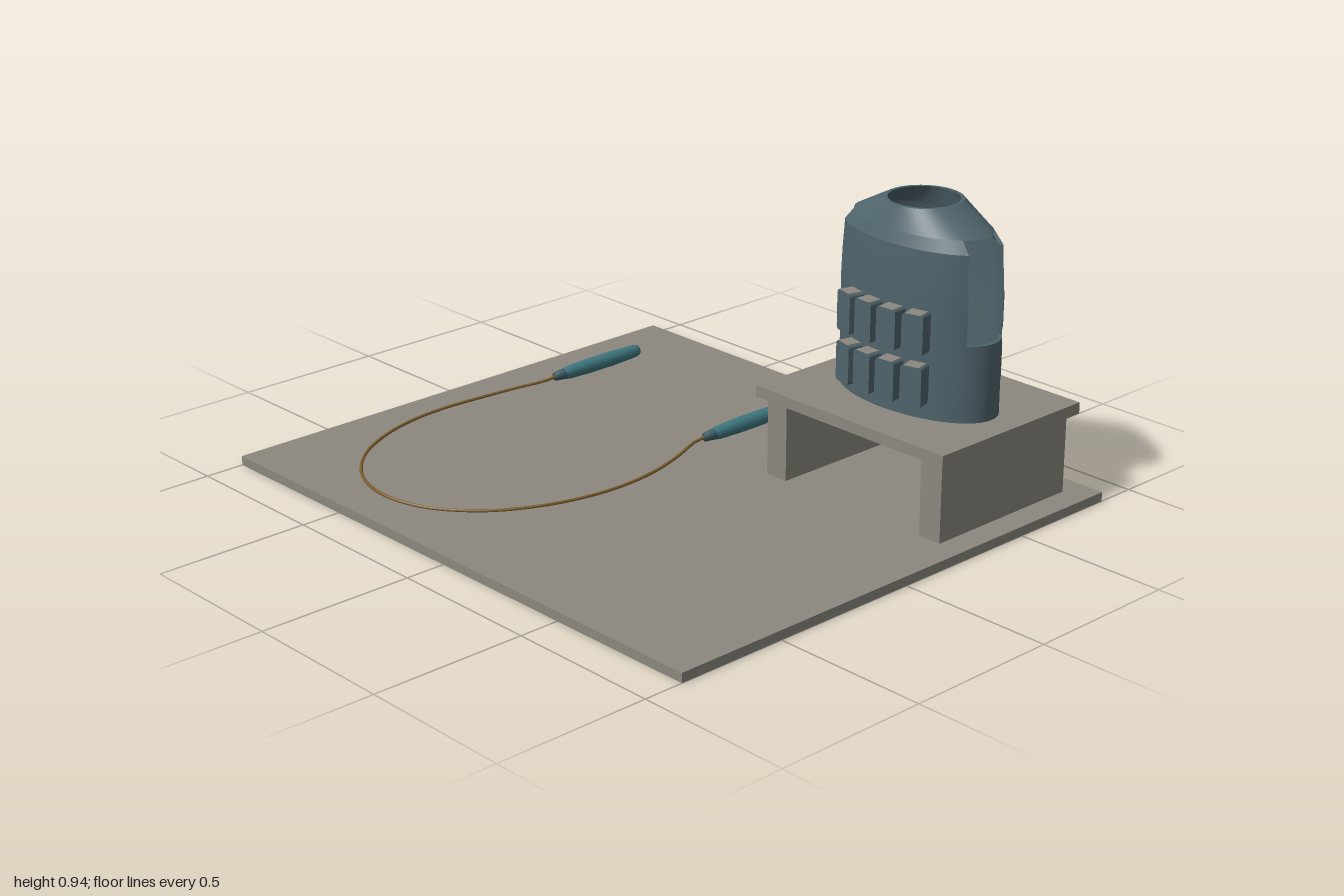
import * as THREE from 'three';

const mat = (name, color, side = THREE.FrontSide) => {
  const m = new THREE.MeshStandardMaterial({ color, side });
  m.name = name;
  return m;
};

export function createModel() {
  const stone = mat('warm grey', 0x8c887e);
  const fabric = mat('slate blue', 0x4f646c, THREE.DoubleSide);
  const grip = mat('teal', 0x3f7880);
  const cap = mat('dark teal', 0x3a5a62);
  const cord = mat('brown', 0x7d5f2e);

  const root = new THREE.Group();
  root.name = 'trainingSet';
  const add = (parent, name, geo, material, x = 0, y = 0, z = 0) => {
    const m = new THREE.Mesh(geo, material);
    m.name = name;
    m.position.set(x, y, z);
    parent.add(m);
    return m;
  };

  // Floor slab and bench
  add(root, 'floor', new THREE.BoxGeometry(2, 0.03, 1.74), stone, 0, 0.015, 0);
  const bench = new THREE.Group();
  bench.name = 'bench';
  bench.position.set(0.563, 0, -0.508);
  root.add(bench);
  add(bench, 'benchTop', new THREE.BoxGeometry(0.756, 0.036, 0.61), stone, 0, 0.302, 0);
  for (const s of [-1, 1])
    add(bench, 'benchLeg', new THREE.BoxGeometry(0.08, 0.256, 0.555), stone, s * 0.313, 0.157, 0);

  // Vest: curved shell pieces bent from boxes around an ellipse
  const vest = new THREE.Group();
  vest.name = 'vest';
  vest.position.set(0.565, 0, -0.51);
  root.add(vest);
  const THICK = 0.012;
  // levels: [height, half width, half depth]; the piece spans mid +- half in angle
  const shell = (name, levels, mid, half, segs) => {
    const g = new THREE.BoxGeometry(1, 1, 1, segs, levels.length - 1, 1);
    const p = g.attributes.position;
    for (let i = 0; i < p.count; i++) {
      const a = mid + p.getX(i) * 2 * half;
      const [y, rx, rz] = levels[Math.round((p.getY(i) + 0.5) * (levels.length - 1))];
      const inset = p.getZ(i) > 0 ? 0 : THICK;
      p.setXYZ(i, Math.sin(a) * (rx - inset), y, Math.cos(a) * (rz - inset));
    }
    g.computeVertexNormals();
    add(vest, name, g, fabric);
  };
  const ARM = 1.054;
  shell('waistBand', [[0.32, 0.29, 0.158], [0.56, 0.29, 0.158]], Math.PI / 2, Math.PI, 64);
  for (const [side, mid] of [['front', 0], ['back', Math.PI]]) {
    shell(side + 'Panel', [[0.56, 0.29, 0.158], [0.66, 0.291, 0.158], [0.74, 0.287, 0.158],
      [0.835, 0.281, 0.152]], mid, ARM, 24);
    shell(side + 'Shoulder', [[0.835, 0.281, 0.152], [0.872, 0.247, 0.14]], mid, ARM, 24);
  }
  shell('collar', [[0.872, 0.247, 0.14], [0.94, 0.12, 0.118]], Math.PI / 2, Math.PI, 64);

  // Weight pockets: rounded blocks with a flat insert on top
  const W = 0.07, H = 0.126, D = 0.055, R = 0.012;
  const s = new THREE.Shape();
  s.moveTo(-W / 2 + R, -H / 2);
  s.lineTo(W / 2 - R, -H / 2);
  s.quadraticCurveTo(W / 2, -H / 2, W / 2, -H / 2 + R);
  s.lineTo(W / 2, H / 2 - R);
  s.quadraticCurveTo(W / 2, H / 2, W / 2 - R, H / 2);
  s.lineTo(-W / 2 + R, H / 2);
  s.quadraticCurveTo(-W / 2, H / 2, -W / 2, H / 2 - R);
  s.lineTo(-W / 2, -H / 2 + R);
  s.quadraticCurveTo(-W / 2, -H / 2, -W / 2 + R, -H / 2);
  const pocketGeo = new THREE.ExtrudeGeometry(s, { depth: D, bevelEnabled: false, curveSegments: 4 });
  const insertGeo = new THREE.BoxGeometry(W - 2 * R + 0.006, 0.004, D - 0.002);
  for (const face of [0, Math.PI]) {
    const pockets = new THREE.Group();
    pockets.name = face ? 'backPockets' : 'frontPockets';
    pockets.rotation.y = face;
    vest.add(pockets);
    for (const y of [0.431, 0.592])
      for (const x of [-0.125, -0.042, 0.042, 0.125]) {
        const z = 0.158 * Math.sqrt(1 - (x / 0.29) ** 2);
        const pocket = new THREE.Group();
        pocket.name = 'pocket';
        pocket.position.set(x, y, z);
        pocket.rotation.y = Math.atan2(x / 0.29 ** 2, z / 0.158 ** 2);
        add(pocket, 'pocketBody', pocketGeo, fabric, 0, 0, -0.008);
        add(pocket, 'pocketInsert', insertGeo, stone, 0, H / 2 - 0.001, D / 2 - 0.008);
        pockets.add(pocket);
      }
  }

  // Skipping rope: two lathed handles and a cord lying on the floor
  const rope = new THREE.Group();
  rope.name = 'skippingRope';
  rope.position.set(-0.447, 0, 0);
  root.add(rope);
  const lathe = pts => new THREE.LatheGeometry(pts.map(q => new THREE.Vector2(...q)), 20).rotateX(Math.PI / 2);
  const handleGeo = lathe([[0, -0.62], [0.016, -0.62], [0.02, -0.612], [0.022, -0.59],
    [0.025, -0.5], [0.025, -0.4], [0.022, -0.31], [0.018, -0.288]]);
  const capGeo = lathe([[0.018, -0.288], [0.014, -0.25], [0, -0.25]]);
  for (const sx of [-1, 1]) {
    add(rope, 'handle', handleGeo, grip, sx * 0.36, 0.055, 0);
    add(rope, 'handleTip', capGeo, cap, sx * 0.36, 0.055, 0);
  }
  const half = [[0.36, 0.055, -0.255], [0.36, 0.052, -0.21], [0.394, 0.043, -0.1], [0.42, 0.036, 0.02],
    [0.432, 0.034, 0.16], [0.42, 0.034, 0.3], [0.375, 0.034, 0.45], [0.29, 0.034, 0.592],
    [0.155, 0.034, 0.7]];
  const path = [...half.map(([x, y, z]) => [-x, y, z]), [0, 0.034, 0.736], ...half.slice().reverse()];
  const curve = new THREE.CatmullRomCurve3(path.map(q => new THREE.Vector3(...q)));
  add(rope, 'cord', new THREE.TubeGeometry(curve, 120, 0.005, 8), cord);

  return root;
}
